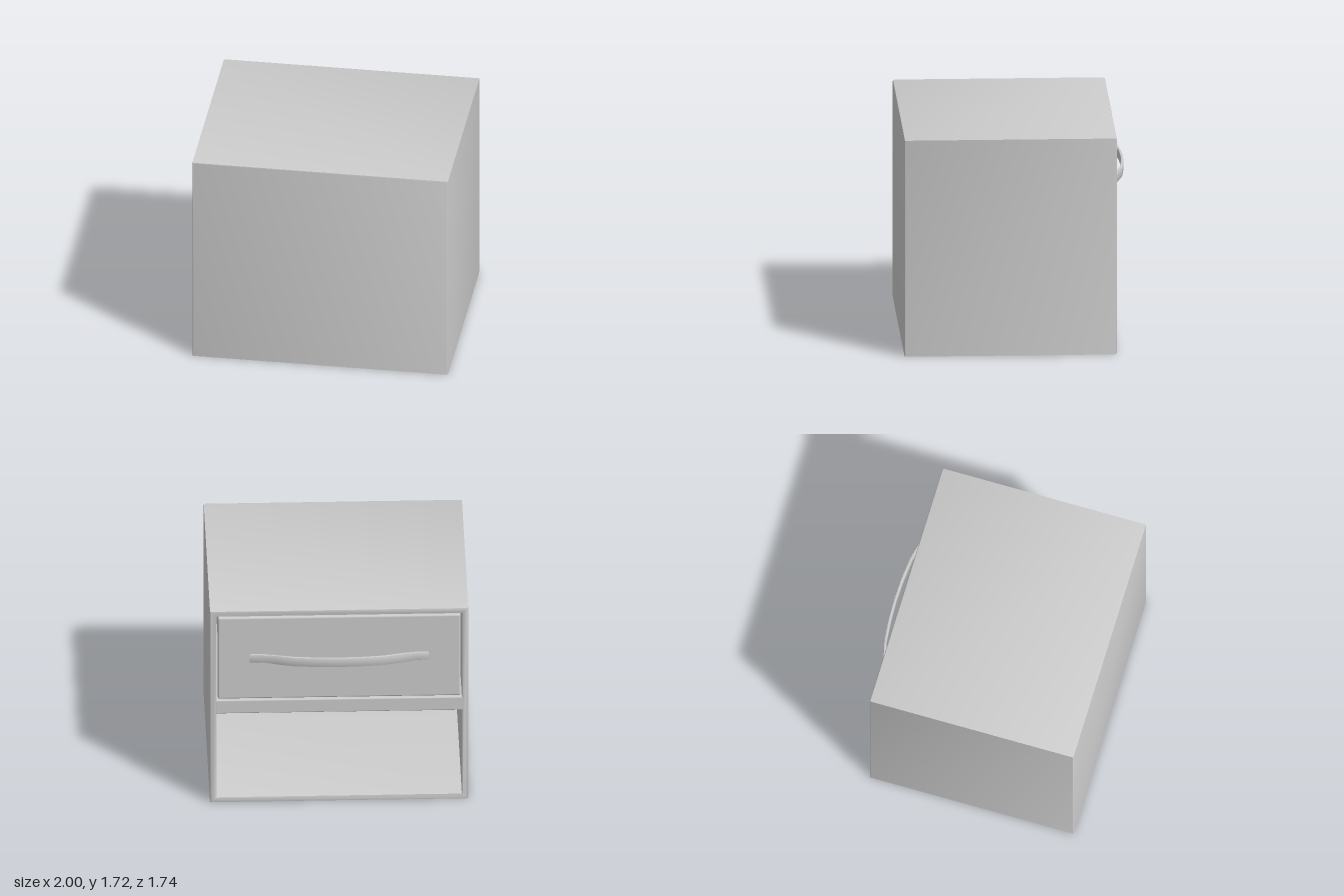
import * as THREE from 'three';
import { toCreasedNormals } from 'three/addons/utils/BufferGeometryUtils.js';
import { RoundedBoxGeometry } from 'three/addons/geometries/RoundedBoxGeometry.js';

const material = new THREE.MeshStandardMaterial({ color: 0xcccccc });

function addMesh(parent, name, geometry, x = 0, y = 0, z = 0) {
  const mesh = new THREE.Mesh(geometry, material);
  mesh.name = name;
  mesh.position.set(x, y, z);
  parent.add(mesh);
  return mesh;
}

// Lofts rectangular rings [halfWidth, bottom, top, z] and closes both ends.
function loftRings(rings) {
  const positions = [];
  const corners = ([w, y0, y1, z]) => [[-w, y0, z], [w, y0, z], [w, y1, z], [-w, y1, z]];
  const quad = (a, b, c, d) => positions.push(...a, ...b, ...c, ...a, ...c, ...d);
  quad(...corners(rings[0]));
  for (let i = 0; i < rings.length - 1; i++) {
    const a = corners(rings[i]), b = corners(rings[i + 1]);
    for (let k = 0; k < 4; k++) {
      const n = (k + 1) % 4;
      quad(a[k], b[k], b[n], a[n]);
    }
  }
  quad(...corners(rings[rings.length - 1]));
  const geometry = new THREE.BufferGeometry();
  geometry.setAttribute('position', new THREE.Float32BufferAttribute(positions, 3));
  return toCreasedNormals(geometry, 0.6);
}

// Bowed strap with flat feet, swept in plan and extruded upwards.
function handleGeometry() {
  const half = [[0.69, 0], [0.6, 0.002], [0.48, 0.03], [0.35, 0.062], [0.17, 0.078]];
  const path = [...half.map(([x, o]) => [-x, o]), [0, 0.084], ...half.map(([x, o]) => [x, o]).reverse()];
  const thickness = 0.006, bevel = 0.004;
  const outer = path.map(([x, o]) => new THREE.Vector2(x, o + thickness));
  const inner = path.map(([x, o]) => new THREE.Vector2(x, o - thickness)).reverse();
  const geometry = new THREE.ExtrudeGeometry(new THREE.Shape([...inner, ...outer]), {
    depth: 0.07, bevelThickness: bevel, bevelSize: bevel, bevelSegments: 2,
  });
  geometry.translate(0, 0, -0.035);
  geometry.rotateX(-Math.PI / 2);
  // The feet are slightly narrower than the grip
  const p = geometry.attributes.position;
  for (let i = 0; i < p.count; i++) {
    if (Math.abs(p.getX(i)) > 0.55) p.setY(i, p.getY(i) * 0.85);
  }
  return toCreasedNormals(geometry, 0.6);
}

export function createModel() {
  const cabinet = new THREE.Group();
  cabinet.name = 'cabinet';
  const H = 1.72, back = 0.87, open = -0.775;

  // Carcass: closed outer shell, bevelled rim, then the inner walls
  const b = 0.012, s = 0.0035;
  addMesh(cabinet, 'carcass', loftRings([
    [1 - b, 0, H - b, back],
    [1 - s, 0, H - s, back - s],
    [1, 0, H, back - b],
    [1, 0, H, open + b],
    [1 - s, s, H - s, open + s],
    [1 - b, b, H - b, open],
    [0.96, 0.04, 1.68, open],
    [0.953, 0.047, 1.673, open + 0.003],
    [0.95, 0.05, 1.67, open + 0.01],
    [0.95, 0.05, 1.67, back - 0.045],
  ]));

  // Shelf between the drawer and the open compartment
  const shelfDepth = back - 0.04 - open;
  addMesh(cabinet, 'shelf', new RoundedBoxGeometry(1.92, 0.12, shelfDepth, 2, 0.01),
    0, 0.86, open + shelfDepth / 2);

  // Drawer: bevelled front, tray behind it, bowed handle
  const drawer = new THREE.Group();
  drawer.name = 'drawer';
  drawer.position.set(0, 1.295, open);
  cabinet.add(drawer);
  addMesh(drawer, 'drawerFront', new RoundedBoxGeometry(1.88, 0.73, 0.05, 3, 0.015), 0, 0, 0.027);
  const trayDepth = 1.45, trayZ = 0.04 + trayDepth / 2;
  for (const side of [-1, 1]) {
    addMesh(drawer, 'drawerSide', new THREE.BoxGeometry(0.03, 0.6, trayDepth), side * 0.9, -0.04, trayZ);
  }
  addMesh(drawer, 'drawerBottom', new THREE.BoxGeometry(1.77, 0.03, trayDepth), 0, -0.325, trayZ);
  addMesh(drawer, 'drawerBack', new THREE.BoxGeometry(1.77, 0.57, 0.03), 0, -0.025, 0.025 + trayDepth);
  const handle = addMesh(drawer, 'handle', handleGeometry(), 0, 0.003, 0);
  handle.position.z = -0.001;

  return cabinet;
}
